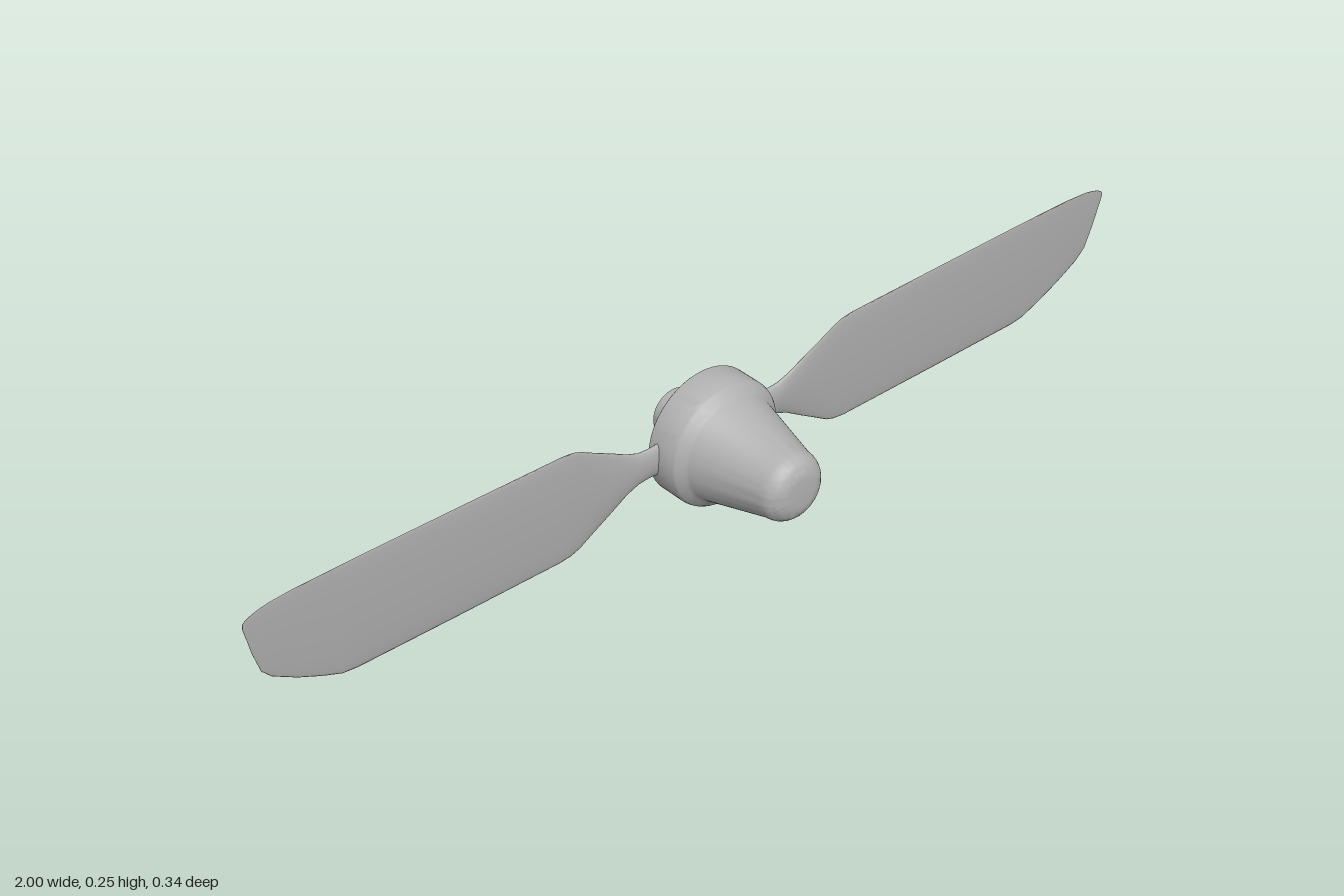
import * as THREE from 'three';
import { toCreasedNormals } from 'three/addons/utils/BufferGeometryUtils.js';

const HUB_X = -0.01, HUB_Y = 0.129;

// Turned part around the z axis; profile points are [radius, z] from back to front.
function turned(name, profile, material) {
  const points = profile.map(([r, z]) => new THREE.Vector2(r, z));
  const geometry = toCreasedNormals(new THREE.LatheGeometry(points, 64), 0.7);
  geometry.rotateX(Math.PI / 2);
  const mesh = new THREE.Mesh(geometry, material);
  mesh.name = name;
  mesh.position.set(HUB_X, HUB_Y, 0);
  return mesh;
}

// Blade stations from root to tip: [span, top edge, bottom edge, thickness].
const STATIONS = [
  [0.09, 0.165, 0.094, 0.022], [0.14, 0.162, 0.097, 0.022],
  [0.165, 0.164, 0.094, 0.02], [0.19, 0.174, 0.083, 0.017],
  [0.23, 0.196, 0.057, 0.014], [0.27, 0.217, 0.032, 0.012],
  [0.295, 0.231, 0.016, 0.012], [0.315, 0.239, 0.009, 0.012],
  [0.34, 0.242, 0.006, 0.012], [0.57, 0.246, 0.008, 0.011],
  [0.78, 0.249, 0.011, 0.009], [0.81, 0.249, 0.015, 0.008],
  [0.85, 0.249, 0.032, 0.007], [0.9, 0.249, 0.057, 0.006],
  [0.95, 0.246, 0.088, 0.005], [0.97, 0.242, 0.11, 0.004],
  [0.985, 0.237, 0.155, 0.003], [0.995, 0.232, 0.195, 0.003],
  [1.0, 0.227, 0.215, 0.002],
];

// Pitched lens-shaped sections lofted along the span; side is +1 or -1.
function blade(name, side, material) {
  const N = 32, positions = [], index = [];
  const face = (a, b, c) => index.push(...(side > 0 ? [a, b, c] : [a, c, b]));
  STATIONS.forEach(([span, top, bottom, thick], i) => {
    const x = side * span + HUB_X * (1 - span);
    const mid = (top + bottom) / 2, half = (top - bottom) / 2;
    for (let j = 0; j < N; j++) {
      const a = (j / N) * Math.PI * 2;
      const y = mid + half * Math.cos(a);
      const z = -0.084 + 0.018 * (y / 0.25) + (thick / 2) * Math.sin(a);
      positions.push(x, y - 0.003 * x, z);
      if (i === STATIONS.length - 1) continue;
      const p = i * N + j, q = i * N + ((j + 1) % N);
      face(p, q, p + N);
      face(q, q + N, p + N);
    }
  });
  // Tip cap
  const last = (STATIONS.length - 1) * N;
  for (let j = 1; j < N - 1; j++) face(last, last + j, last + j + 1);
  const geometry = new THREE.BufferGeometry();
  geometry.setAttribute('position', new THREE.Float32BufferAttribute(positions, 3));
  geometry.setIndex(index);
  geometry.computeVertexNormals();
  const mesh = new THREE.Mesh(geometry, material);
  mesh.name = name;
  return mesh;
}

export function createModel() {
  const model = new THREE.Group();
  model.name = 'propeller';
  const grey = new THREE.MeshStandardMaterial({ color: 0xb0b0b0 });
  grey.name = 'grey plastic';

  // Spinner: recessed back, collar, flare, tapering cone with rounded nose
  const spinner = [
    [0.04, -0.065], [0.088, -0.065], [0.09, -0.093], [0.123, -0.093],
    [0.125, -0.091], [0.125, -0.037], [0.1235, -0.031], [0.12, -0.026],
    [0.111, -0.018], [0.107, -0.014], [0.103, -0.008], [0.069, 0.125],
  ];
  // Rounded nose
  for (let i = 1; i <= 8; i++) {
    const a = (i / 8) * Math.PI / 2;
    spinner.push([0.027 + 0.041 * Math.cos(a), 0.131 + 0.039 * Math.sin(a)]);
  }
  spinner.push([0, 0.17]);
  model.add(turned('spinner', spinner, grey));

  // Raised ring in the recess
  model.add(turned('innerRing', [
    [0.055, -0.06], [0.055, -0.08], [0.07, -0.08], [0.07, -0.06],
  ], grey));

  // Hollow shaft sleeve
  model.add(turned('shaftSleeve', [
    [0, -0.06], [0.041, -0.06], [0.041, -0.17], [0.046, -0.17], [0.046, -0.06],
  ], grey));

  model.add(blade('leftBlade', 1, grey), blade('rightBlade', -1, grey));
  return model;
}
